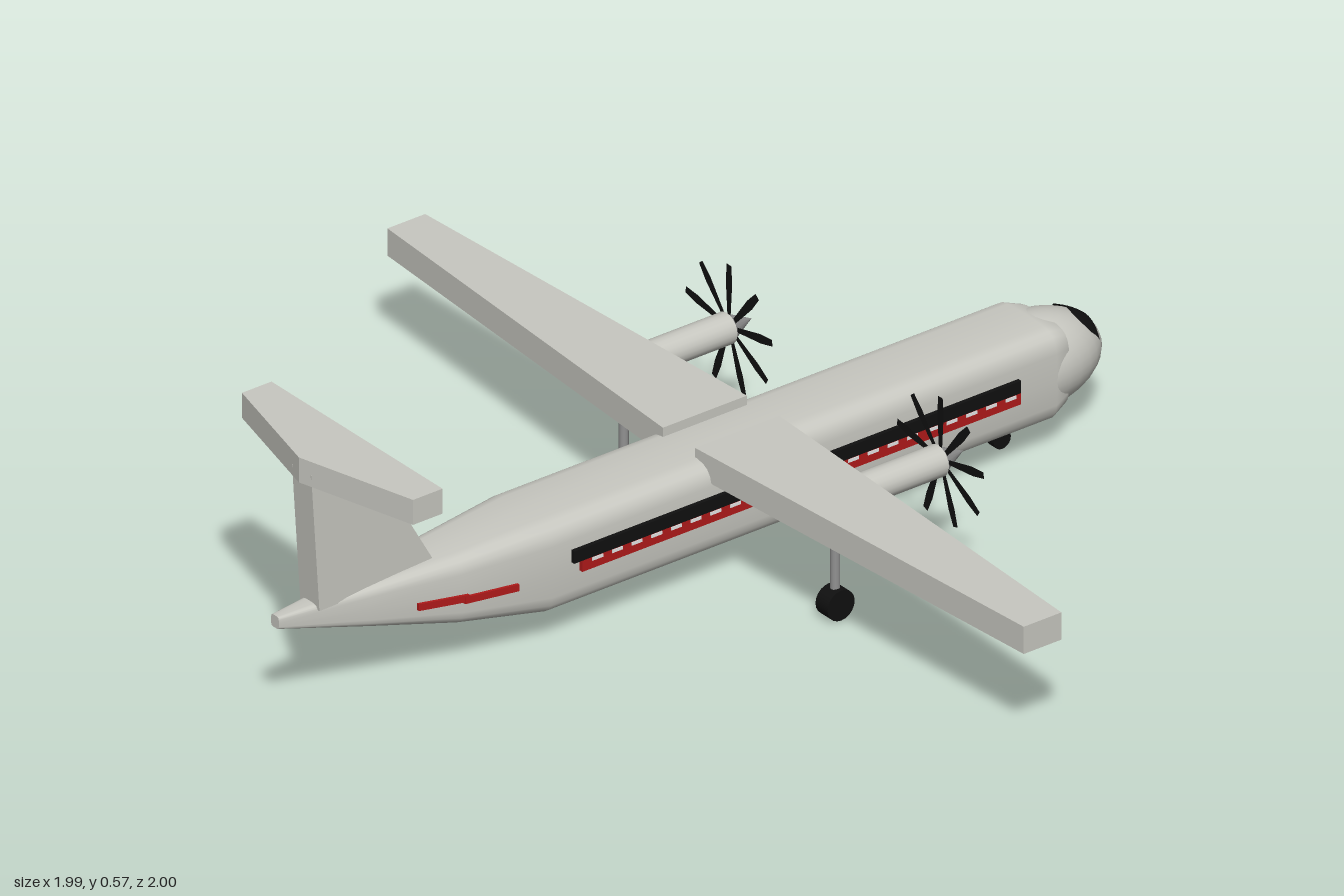
import * as THREE from 'three';

const mat = (name, color, side = THREE.FrontSide) => {
  const m = new THREE.MeshStandardMaterial({ color, side });
  m.name = name;
  return m;
};

export function createModel() {
  const model = new THREE.Group();
  model.name = 'turbopropAirliner';
  const grey = mat('light grey', 0xc8c8c1);
  const metal = mat('metal grey', 0x929292);
  const black = mat('black', 0x101010, THREE.DoubleSide);
  const red = mat('red', 0xb01a1a);
  const white = mat('white', 0xeeeeee);

  const add = (name, geometry, material, x = 0, y = 0, z = 0) => {
    const mesh = new THREE.Mesh(geometry, material);
    mesh.name = name;
    mesh.position.set(x, y, z);
    model.add(mesh);
    return mesh;
  };

  // Fuselage: rounded-square sections [z, half width, top, bottom], caps included
  const rings = [
    [-0.87, 0, 0.172, 0.172], [-0.87, 0.086, 0.26, 0.085], [-0.87, 0.086, 0.26, 0.085],
    [-0.83, 0.1, 0.274, 0.07], [0.4, 0.1, 0.274, 0.07], [0.6, 0.075, 0.26, 0.108],
    [0.8, 0.042, 0.25, 0.16], [1, 0.012, 0.242, 0.215], [1, 0.012, 0.242, 0.215], [1, 0, 0.229, 0.229],
  ];
  const N = 24, pos = [], idx = [];
  const bulge = (v) => Math.sign(v) * Math.abs(v) ** (2 / 4.5);
  rings.forEach(([z, w, top, bottom], i) => {
    for (let j = 0; j < N; j++) {
      const a = (j / N) * Math.PI * 2;
      pos.push(w * bulge(Math.cos(a)), (top + bottom) / 2 + ((top - bottom) / 2) * bulge(Math.sin(a)), z);
      if (i < rings.length - 1) {
        const p = i * N + j, q = i * N + ((j + 1) % N);
        idx.push(p, q, p + N, q, q + N, p + N);
      }
    }
  });
  const body = new THREE.BufferGeometry();
  body.setAttribute('position', new THREE.Float32BufferAttribute(pos, 3));
  body.setIndex(idx);
  body.computeVertexNormals();
  add('fuselage', body, grey);

  // Nose ellipsoid
  const nose = new THREE.SphereGeometry(1, 32, 20);
  nose.scale(0.1, 0.1, 0.17);
  add('nose', nose, grey, 0, 0.17, -0.83);

  // Windscreen: sheet laid just above the nose surface
  const screen = new THREE.PlaneGeometry(2, 1, 16, 6);
  const sp = screen.attributes.position;
  for (let i = 0; i < sp.count; i++) {
    const u = sp.getX(i), v = sp.getY(i) + 0.5;
    const x = u * 0.057;
    const front = -0.97 + 0.007 * u * u;
    const back = -0.928 + 0.012 * Math.abs(u) - 0.028 * u ** 4;
    const z = front + (back - front) * v;
    const h = Math.sqrt(Math.max(0, 1 - (x / 0.1) ** 2 - ((z + 0.83) / 0.17) ** 2));
    sp.setXYZ(i, x * 1.03, 0.17 + 0.1 * h * 1.03, -0.83 + (z + 0.83) * 1.02);
  }
  screen.computeVertexNormals();
  add('windscreen', screen, black);

  // Flat plan outline (x, z) extruded downward from the given top
  const slab = (points, top, thickness) => {
    const shape = new THREE.Shape(points.map(([x, z]) => new THREE.Vector2(x, z)));
    const g = new THREE.ExtrudeGeometry(shape, { depth: thickness, bevelEnabled: false });
    g.rotateX(Math.PI / 2);
    g.translate(0, top, 0);
    return g;
  };

  // Tail fin and tailplane
  const finShape = new THREE.Shape([[0.63, 0.24], [0.8, 0.54], [0.935, 0.54], [0.915, 0.235]]
    .map(([z, y]) => new THREE.Vector2(z, y)));
  const fin = new THREE.ExtrudeGeometry(finShape, { depth: 0.06, bevelEnabled: false });
  fin.rotateY(-Math.PI / 2);
  add('tailFin', fin, grey, 0.03);
  add('tailplane', slab([[-0.267, 0.8], [0.267, 0.8], [0.267, 0.872], [0, 0.942], [-0.267, 0.872]], 0.57, 0.055), grey);

  // Propeller blade, widening to its tip
  const bladeShape = new THREE.Shape([[-0.004, 0.01], [0.004, 0.01], [0.01, 0.1], [0.007, 0.137], [-0.007, 0.137], [-0.01, 0.1]]
    .map(([x, y]) => new THREE.Vector2(x, y)));
  const blade = new THREE.ShapeGeometry(bladeShape);

  // Slightly wedge-shaped plate that follows the tapering tail side
  const tailWidth = (z) => (z < 0.6 ? 0.1 - (z - 0.4) * 0.125 : 0.075 - (z - 0.6) * 0.165);
  const tailStripe = (side, z0, z1, y0, y1) => {
    const g = new THREE.BoxGeometry(0.006, 0.015, z1 - z0, 1, 1, 4);
    const p = g.attributes.position;
    for (let i = 0; i < p.count; i++) {
      const t = p.getZ(i) / (z1 - z0) + 0.5, z = z0 + (z1 - z0) * t;
      p.setXYZ(i, p.getX(i) + side * (tailWidth(z) + 0.004), p.getY(i) + y0 + (y1 - y0) * t, z);
    }
    g.computeVertexNormals();
    return g;
  };

  for (const s of [1, -1]) {
    const side = s > 0 ? 'left' : 'right';

    // Wing
    add(side + 'Wing', slab([[s * 0.05, -0.19], [s * 0.993, -0.142], [s * 0.993, -0.05], [s * 0.05, 0.015]], 0.293, 0.06), grey);

    // Engine and propeller
    const ex = s * 0.33, ey = 0.26;
    const nacelle = new THREE.CylinderGeometry(0.033, 0.033, 0.22, 20);
    nacelle.rotateX(Math.PI / 2);
    add(side + 'Nacelle', nacelle, grey, ex, ey, -0.25);
    const spinner = new THREE.ConeGeometry(0.03, 0.06, 20);
    spinner.rotateX(-Math.PI / 2);
    add(side + 'Spinner', spinner, metal, ex, ey, -0.39);
    for (let i = 0; i < 9; i++) {
      add(side + 'PropellerBlade', blade, black, ex, ey, -0.365).rotation.z = (i / 9) * Math.PI * 2;
    }

    // Main landing gear
    add(side + 'GearStrut', new THREE.CylinderGeometry(0.01, 0.01, 0.2, 12), metal, ex, 0.135, -0.108);
    const wheel = new THREE.CylinderGeometry(0.033, 0.033, 0.038, 20);
    wheel.rotateZ(Math.PI / 2);
    add(side + 'MainWheel', wheel, black, ex, 0.035, -0.108);

    // Cabin window band, red stripe and pale dashes
    add(side + 'WindowBand', new THREE.BoxGeometry(0.009, 0.027, 1.09), black, s * 0.104, 0.194, -0.19);
    add(side + 'CabinStripe', new THREE.BoxGeometry(0.008, 0.025, 1.07), red, s * 0.104, 0.168, -0.2);
    for (let i = 0; i < 22; i++) {
      add(side + 'StripeDash', new THREE.BoxGeometry(0.002, 0.007, 0.026), white, s * 0.1085, 0.176, -0.71 + i * 0.048);
    }

    // Tail markings
    add(side + 'TailStripeFront', tailStripe(s, 0.48, 0.6, 0.166, 0.172), red);
    add(side + 'TailStripeRear', tailStripe(s, 0.59, 0.7, 0.175, 0.184), red);
  }

  // Nose landing gear
  add('noseGearStrut', new THREE.CylinderGeometry(0.007, 0.007, 0.07, 12), metal, 0, 0.055, -0.765);
  const noseWheel = new THREE.CylinderGeometry(0.021, 0.021, 0.022, 20);
  noseWheel.rotateZ(Math.PI / 2);
  add('noseWheel', noseWheel, black, 0, 0.025, -0.765);

  return model;
}
